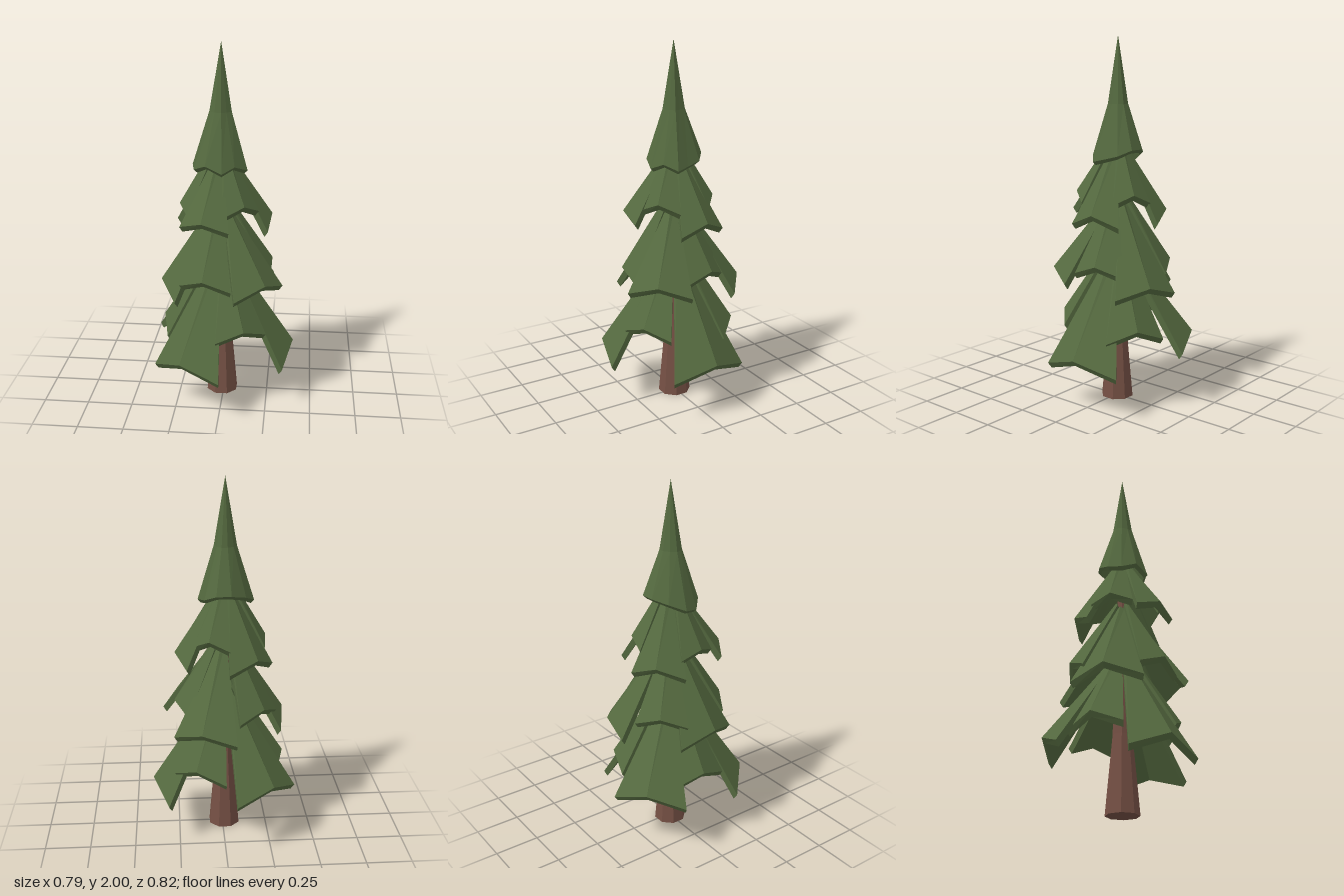
import * as THREE from 'three';

const AXIS_X = -0.015; // the trunk axis sits slightly off centre
const leaf = new THREE.MeshStandardMaterial({ color: 0x54693f, flatShading: true });
const bark = new THREE.MeshStandardMaterial({ color: 0x755044, flatShading: true });

// Collects flat quads and triangles into one geometry
function facets() {
  const pos = [];
  const tri = (a, b, c) => pos.push(...a, ...b, ...c);
  const quad = (a, b, c, d) => { tri(a, b, c); tri(a, c, d); };
  const build = () => {
    const g = new THREE.BufferGeometry();
    g.setAttribute('position', new THREE.Float32BufferAttribute(pos, 3));
    g.computeVertexNormals();
    return g;
  };
  return { tri, quad, build };
}

function polar(deg, r, y) {
  const a = THREE.MathUtils.degToRad(deg);
  return [r * Math.cos(a), y, r * Math.sin(a)];
}

// Drooping bough: a thick two-sided flap with a central ridge
function boughGeometry({ angle, radius, y, half, drop, topY }) {
  const { quad, build } = facets();
  const p = [-1, 0, 1].map((s) => {
    const a = angle + s * half;
    const yo = y - Math.abs(s) * drop;
    const yi = topY - Math.abs(s) * 0.015;
    return {
      ti: polar(a, 0.035, yi),
      to: polar(a, radius, yo),
      bi: polar(a, 0.015, yi - 0.03),
      bo: polar(a, radius - 0.02, yo - 0.03),
    };
  });
  for (let i = 0; i < 2; i++) {
    const m = p[i], n = p[i + 1];
    quad(m.ti, n.ti, n.to, m.to); // upper side
    quad(m.bi, m.bo, n.bo, n.bi); // underside
    quad(m.to, n.to, n.bo, m.bo); // rim
  }
  quad(p[0].ti, p[0].to, p[0].bo, p[0].bi);
  quad(p[2].ti, p[2].bi, p[2].bo, p[2].to);
  return build();
}

// Pointed crown: hollow, with a ragged rim and a steeper tip
function crownGeometry() {
  const { tri, quad, build } = facets();
  // rim corners as x, z (from the axis) and y
  const rim = [
    [0.145, 0.055, 1.335], [0.08, 0.11, 1.365], [0.015, 0.15, 1.335],
    [-0.075, 0.125, 1.37], [-0.14, 0.065, 1.335], [-0.155, -0.01, 1.345],
    [-0.105, -0.09, 1.38], [-0.025, -0.14, 1.4], [0.055, -0.14, 1.4],
    [0.115, -0.09, 1.37], [0.13, -0.01, 1.35],
  ];
  const tip = [0, 2, 0], innerTip = [0, 1.75, 0];
  const rings = rim.map(([x, z, y]) => ({
    mid: [x * 0.4, 1.64, z * 0.4],
    out: [x, y, z],
    inn: [x * 0.88, y - 0.018, z * 0.88],
  }));
  rings.forEach((m, i) => {
    const n = rings[(i + 1) % rings.length];
    tri(tip, n.mid, m.mid);
    quad(m.mid, n.mid, n.out, m.out);
    quad(m.out, n.out, n.inn, m.inn);
    tri(innerTip, m.inn, n.inn);
  });
  return build();
}

export function createModel() {
  const tree = new THREE.Group();
  tree.name = 'pineTree';
  const add = (name, geometry, material, parent) => {
    const mesh = new THREE.Mesh(geometry, material);
    mesh.name = name;
    parent.add(mesh);
    return mesh;
  };
  const body = new THREE.Group();
  body.name = 'tree';
  body.position.x = AXIS_X;
  tree.add(body);

  // Trunk, tapering up into the crown
  const profile = [[0, 0], [0.09, 0], [0.052, 0.42], [0.02, 1.5], [0, 1.5]]
    .map(([r, y]) => new THREE.Vector2(r, y));
  const trunk = new THREE.LatheGeometry(profile, 8);
  trunk.rotateY(Math.PI / 8);
  add('trunk', trunk, bark, body).position.x = 0.005;

  // Tiers: each has three long lower boughs and three short upper ones
  // bough: angle from +x towards +z, radius, ridge height, half width, corner drop
  const tiers = [
    {
      name: 'lowerTier', topY: 0.87,
      lower: [[118, 0.41, 0.325, 31, 0.08], [-4, 0.41, 0.31, 34, 0.075], [-126, 0.415, 0.385, 30, 0.075]],
      upper: [[62, 0.31, 0.49, 29, 0.055], [-58, 0.325, 0.46, 30, 0.065], [182, 0.325, 0.455, 30, 0.065]],
    },
    {
      name: 'middleTier', topY: 1.15,
      lower: [[44, 0.355, 0.755, 30, 0.06], [-67, 0.36, 0.7, 30, 0.055], [170, 0.333, 0.7, 36, 0.065]],
      upper: [[105, 0.295, 0.78, 30, 0.055], [-14, 0.29, 0.8, 30, 0.055], [-133, 0.29, 0.79, 30, 0.055]],
    },
    {
      name: 'upperTier', topY: 1.43,
      lower: [[107, 0.28, 1.1, 30, 0.045], [-9, 0.28, 1.07, 31, 0.06], [-127, 0.265, 1.07, 35, 0.06]],
      upper: [[52, 0.225, 1.17, 31, 0.05], [-63, 0.212, 1.17, 31, 0.05], [170, 0.225, 1.14, 31, 0.04]],
    },
  ];
  for (const tier of tiers) {
    const group = new THREE.Group();
    group.name = tier.name;
    body.add(group);
    for (const [key, lift] of [['lower', 0], ['upper', 0.03]]) {
      tier[key].forEach(([angle, radius, y, half, drop], i) => {
        const geometry = boughGeometry({ angle, radius, y, half, drop, topY: tier.topY + lift });
        add(`${key}Bough${i + 1}`, geometry, leaf, group);
      });
    }
  }

  add('crown', crownGeometry(), leaf, body);
  return tree;
}
